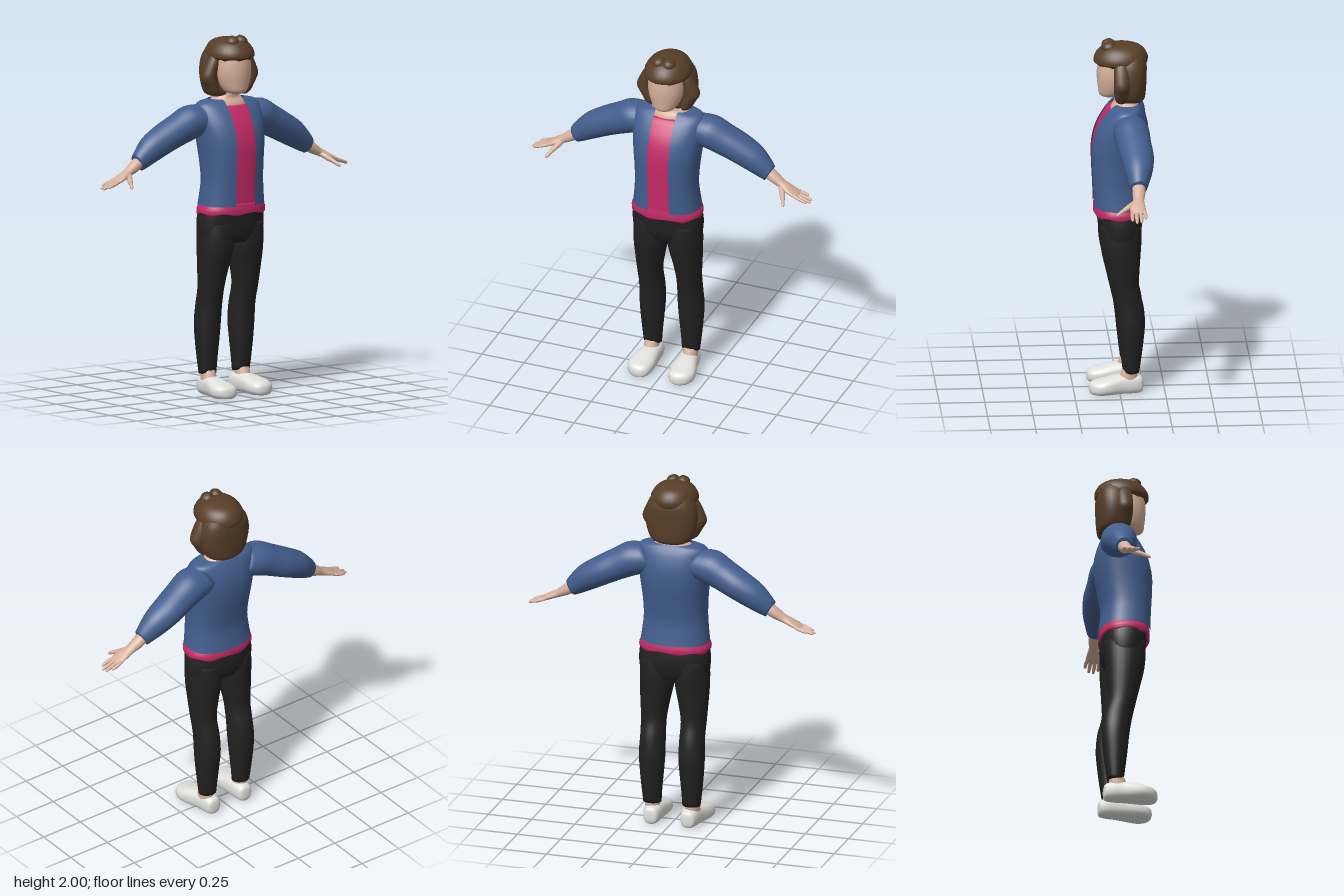
import * as THREE from 'three';

const mat = (name, color, side = THREE.FrontSide) => {
  const m = new THREE.MeshStandardMaterial({ color, side });
  m.name = name;
  return m;
};

// Smooth tube through rings [x, y, z, a, b]; b runs along `front`, a across it.
// p < 1 squares the section, gap leaves a slit of that half width at the front,
// hem(t) shifts the first ring's height around its edge.
function loft(name, material, rings, { dir = [0, 1, 0], front = [0, 0, 1], n = 28, steps = 4, p = 1, gap = 0, hem, floor = false } = {}) {
  const D = new THREE.Vector3(...dir).normalize();
  const B = new THREE.Vector3(...front);
  const A = D.clone().cross(B).normalize();
  const path = new THREE.CatmullRomCurve3(rings.map(r => new THREE.Vector3(r[0], r[1], r[2])), false, 'catmullrom');
  const size = new THREE.CatmullRomCurve3(rings.map(r => new THREE.Vector3(r[3], r[4], 0)), false, 'catmullrom');
  const count = (rings.length - 1) * steps, row = n + 1;
  const pos = [], index = [];
  const bend = v => Math.sign(v) * Math.abs(v) ** p;
  for (let i = 0; i <= count; i++) {
    const c = path.getPoint(i / count), s = size.getPoint(i / count);
    const t0 = gap ? Math.asin(Math.min(1, gap / s.x) ** (1 / p)) : 0;
    for (let j = 0; j <= n; j++) {
      const t = t0 + (2 * Math.PI - 2 * t0) * j / n;
      const v = c.clone().addScaledVector(A, s.x * bend(Math.sin(t))).addScaledVector(B, s.y * bend(Math.cos(t)));
      if (hem && i === 0) v.y += hem(t);
      if (floor) v.y = Math.max(0, v.y);
      pos.push(v.x, v.y, v.z);
    }
  }
  for (let i = 0; i < count; i++) for (let j = 0; j < n; j++) {
    const k = i * row + j, l = gap ? k + 1 : i * row + (j + 1) % n;
    index.push(k, l, l + row, k, l + row, k + row);
  }
  if (!gap) for (const i of [0, count]) {
    const c = path.getPoint(i / count), m = pos.length / 3;
    pos.push(c.x, floor ? Math.max(0, c.y) : c.y, c.z);
    for (let j = 0; j < n; j++) {
      const k = i * row + j, l = i * row + (j + 1) % n;
      index.push(m, ...(i ? [k, l] : [l, k]));
    }
  }
  const g = new THREE.BufferGeometry();
  g.setAttribute('position', new THREE.Float32BufferAttribute(pos, 3));
  g.setIndex(index);
  g.computeVertexNormals();
  const mesh = new THREE.Mesh(g, material);
  mesh.name = name;
  return mesh;
}

// Copy reflected to the -x side, with corners reordered
function mirrored(mesh) {
  const g = mesh.geometry.clone().scale(-1, 1, 1), a = g.index.array;
  for (let i = 0; i < a.length; i += 3) [a[i], a[i + 1]] = [a[i + 1], a[i]];
  const m = new THREE.Mesh(g, mesh.material);
  m.name = mesh.name.replace('left', 'right');
  return m;
}

export function createModel() {
  const model = new THREE.Group();
  model.name = 'person';
  const skin = mat('skin', 0xd6b09b), hair = mat('brown hair', 0x573e28);
  const denim = mat('blue jacket', 0x435e8e, THREE.DoubleSide), pink = mat('pink shirt', 0xc42a66);
  const black = mat('black trousers', 0x212121), white = mat('white shoes', 0xdfdfdc);
  const add = (...args) => model.add(loft(...args));
  const pair = (...args) => { const m = loft(...args); model.add(m, mirrored(m)); };

  // Jacket body, open down the front, over a closed shirt
  const torso = [
    [0, 1.06, 0, .192, .142], [0, 1.12, .005, .184, .139], [0, 1.2, .01, .177, .138],
    [0, 1.3, .005, .18, .148], [0, 1.4, -.004, .19, .156], [0, 1.5, -.018, .2, .146],
    [0, 1.58, -.032, .2, .114], [0, 1.625, -.042, .185, .082], [0, 1.643, -.045, .11, .065],
  ];
  add('jacketBody', denim, torso, { p: .85, gap: .063, n: 44 });
  const shirt = torso.slice(0, 7).map(([x, y, z, a, b]) => [x, y, z, a - .008, b - .007]);
  add('shirt', pink, [...shirt, [0, 1.608, -.037, .15, .084]], { p: .85, n: 44 });
  add('shirtHem', pink, [[0, 1.015, 0, .2, .138], [0, 1.04, 0, .2, .139], [0, 1.075, .002, .182, .134]],
    { p: .85, n: 44, hem: t => .007 * Math.sin(7 * t) });

  // Sleeves
  pair('leftSleeve', denim, [
    [.12, 1.545, -.055, .085, .085], [.21, 1.53, -.058, .097, .1], [.3, 1.49, -.068, .089, .095],
    [.39, 1.445, -.08, .083, .092], [.48, 1.395, -.083, .076, .078], [.545, 1.347, -.08, .06, .057],
    [.575, 1.323, -.078, .049, .046],
  ], { dir: [.86, -.51, 0] });

  // Forearms, palms, fingers and thumbs
  pair('leftForearmAndPalm', skin, [
    [.54, 1.345, -.078, .036, .036], [.6, 1.306, -.077, .032, .036], [.65, 1.276, -.072, .023, .031],
    [.69, 1.257, -.066, .019, .041], [.73, 1.238, -.066, .014, .044], [.75, 1.23, -.067, .008, .038],
  ], { dir: [.88, -.47, 0], n: 18 });
  [[-.104, .795], [-.08, .822], [-.055, .826], [-.031, .81]].forEach(([z, tip], i) => {
    const z0 = -.066 + (z + .066) * .85, y = 1.2 + (.826 - tip) * .5;
    pair('leftFinger' + (i + 1), skin, [
      [.725, 1.24, z0, .01, .011], [(.725 + tip) / 2, (1.24 + y) / 2, z, .009, .0105],
      [tip - .008, y + .004, z, .007, .008], [tip, y, z, .002, .003],
    ], { dir: [.9, -.43, 0], n: 10, steps: 2 });
  });
  pair('leftThumb', skin, [
    [.645, 1.273, -.062, .014, .014], [.672, 1.247, -.018, .015, .016],
    [.69, 1.228, .018, .011, .011], [.701, 1.213, .042, .009, .009], [.706, 1.207, .051, .002, .003],
  ], { dir: [.4, -.35, .85], front: [.9, 0, -.42], n: 10, steps: 3 });

  // Trousers: hips and two legs
  add('hips', black, [
    [0, .85, -.008, .185, .09], [0, .9, -.008, .198, .114], [0, .96, -.008, .201, .123],
    [0, 1.015, -.004, .195, .125], [0, 1.045, 0, .185, .125],
  ], { p: .85, n: 40 });
  pair('leftLeg', black, [
    [.113, .118, -.063, .051, .045], [.115, .2, -.064, .058, .056], [.115, .3, -.064, .067, .068],
    [.114, .4, -.063, .073, .077], [.113, .5, -.051, .07, .08], [.115, .6, -.028, .071, .079],
    [.11, .7, -.018, .082, .092], [.102, .8, -.01, .095, .107], [.099, .88, -.008, .098, .114],
    [.099, .96, -.008, .095, .112],
  ], { hem: t => .03 * Math.max(0, Math.cos(t)) ** 4 });

  // Ankles and shoes
  pair('leftAnkle', skin, [
    [.115, .07, -.045, .043, .052], [.115, .11, -.052, .041, .048], [.115, .15, -.06, .04, .038],
    [.115, .18, -.063, .035, .035],
  ], { n: 18 });
  pair('leftShoe', white, [
    [.107, .045, -.13, .015, .02], [.107, .047, -.12, .038, .045], [.108, .05, -.08, .05, .054],
    [.112, .05, -.02, .057, .056], [.12, .044, .05, .07, .051], [.123, .037, .1, .073, .045],
    [.12, .034, .14, .06, .039], [.116, .031, .162, .035, .028], [.114, .03, .17, .01, .01],
  ], { dir: [0, 0, 1], front: [0, 1, 0], p: .8, floor: true });

  // Neck and collarbone
  add('neck', skin, [
    [0, 1.59, -.035, .12, .083], [0, 1.622, -.038, .115, .076], [0, 1.648, -.042, .085, .066],
    [0, 1.675, -.036, .058, .062], [0, 1.74, -.03, .056, .06],
  ]);

  // Smooth head
  add('head', skin, [
    [0, 1.674, .05, .025, .03], [0, 1.69, .04, .06, .066], [0, 1.73, .025, .085, .088],
    [0, 1.79, .02, .1, .099], [0, 1.85, .015, .1, .102], [0, 1.9, .01, .09, .095],
    [0, 1.94, 0, .04, .05],
  ]);

  // Bobbed hair: back mass, crown with fringe, side flicks and top curls
  add('hairBack', hair, [
    [0, 1.655, -.068, .085, .068], [0, 1.675, -.066, .118, .08], [0, 1.73, -.065, .14, .087],
    [0, 1.8, -.065, .149, .09], [0, 1.87, -.063, .137, .092], [0, 1.92, -.06, .11, .08],
  ], { p: .85 });
  add('hairCrown', hair, [
    [0, 1.868, -.015, .118, .135], [0, 1.88, -.012, .13, .149], [0, 1.91, -.014, .128, .147],
    [0, 1.945, -.016, .108, .126], [0, 1.97, -.015, .075, .09], [0, 1.983, -.01, .025, .03],
  ], { hem: t => .006 * Math.sin(9 * t) });
  pair('leftHairFlick', hair, [
    [.095, 1.66, -.012, .015, .018], [.105, 1.68, -.012, .03, .034], [.124, 1.725, -.012, .037, .042],
    [.14, 1.768, -.012, .044, .044], [.13, 1.815, -.012, .04, .044], [.112, 1.87, -.012, .03, .04],
    [.1, 1.91, -.012, .015, .02],
  ], { n: 18 });
  pair('leftTopCurl', hair, [
    [.028, 1.94, .05, .03, .038], [.03, 1.965, .052, .036, .04], [.028, 1.985, .052, .027, .03],
    [.026, 1.997, .05, .008, .01],
  ], { n: 16 });
  return model;
}
